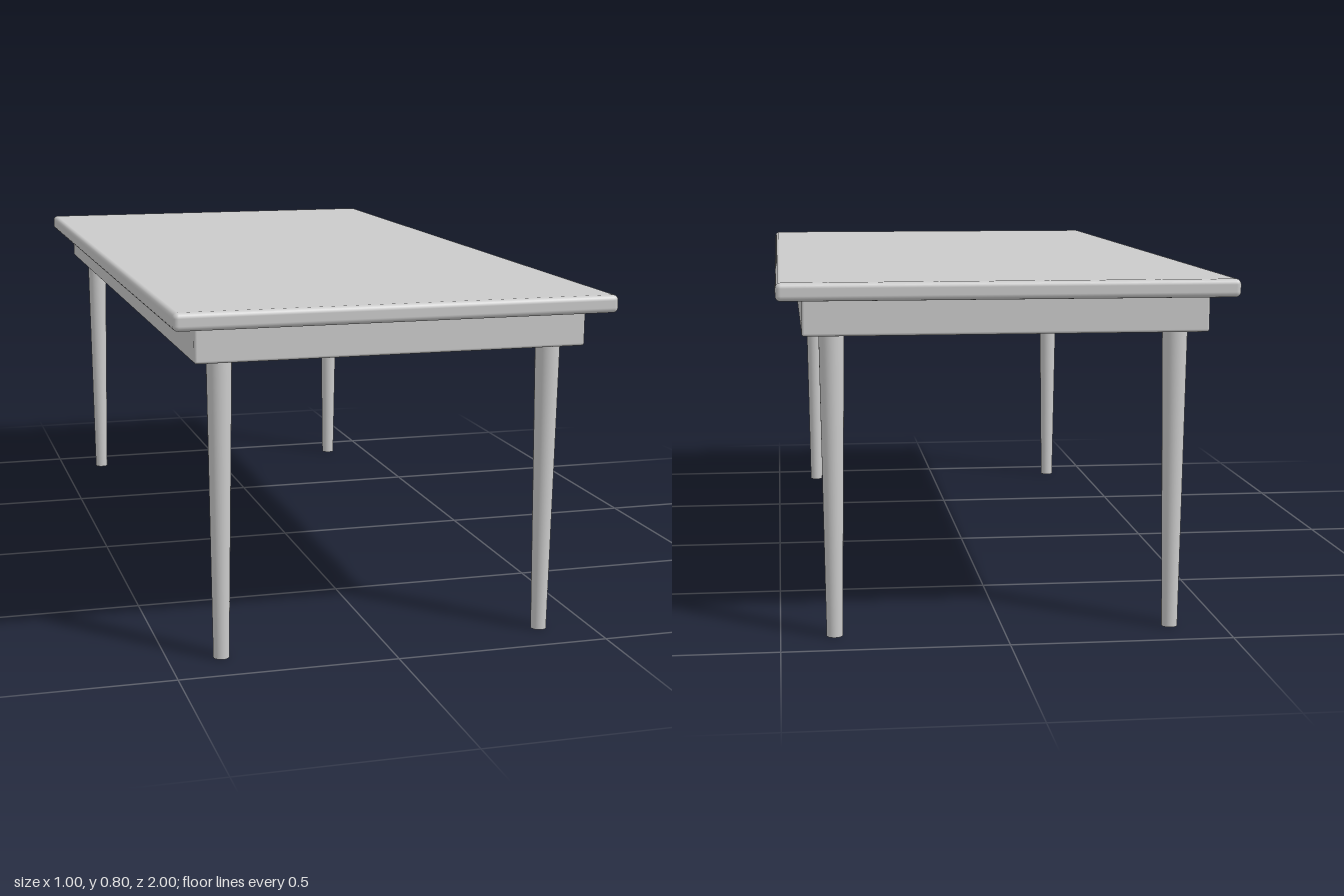
import * as THREE from 'three';
import { RoundedBoxGeometry } from 'three/addons/geometries/RoundedBoxGeometry.js';

const material = new THREE.MeshStandardMaterial({ color: 0xcccccc });

function addPart(group, name, geometry, x, y, z) {
  const mesh = new THREE.Mesh(geometry, material);
  mesh.name = name;
  mesh.position.set(x, y, z);
  group.add(mesh);
}

export function createModel() {
  const table = new THREE.Group();
  table.name = 'table';

  // Table top with softened edges
  addPart(table, 'tableTop', new RoundedBoxGeometry(1, 0.04, 2, 3, 0.012), 0, 0.777, 0);

  // Solid apron under the top
  addPart(table, 'apron', new RoundedBoxGeometry(0.89, 0.086, 1.89, 2, 0.006), 0, 0.72, 0);

  // Four round legs, tapering towards the floor
  const legHeight = 0.68;
  const legGeometry = new THREE.CylinderGeometry(0.028, 0.018, legHeight, 32);
  for (const [side, x] of [['Left', 0.38], ['Right', -0.38]]) {
    for (const [end, z] of [['front', 0.888], ['back', -0.888]]) {
      addPart(table, `${end}${side}Leg`, legGeometry, x, legHeight / 2, z);
    }
  }

  return table;
}
